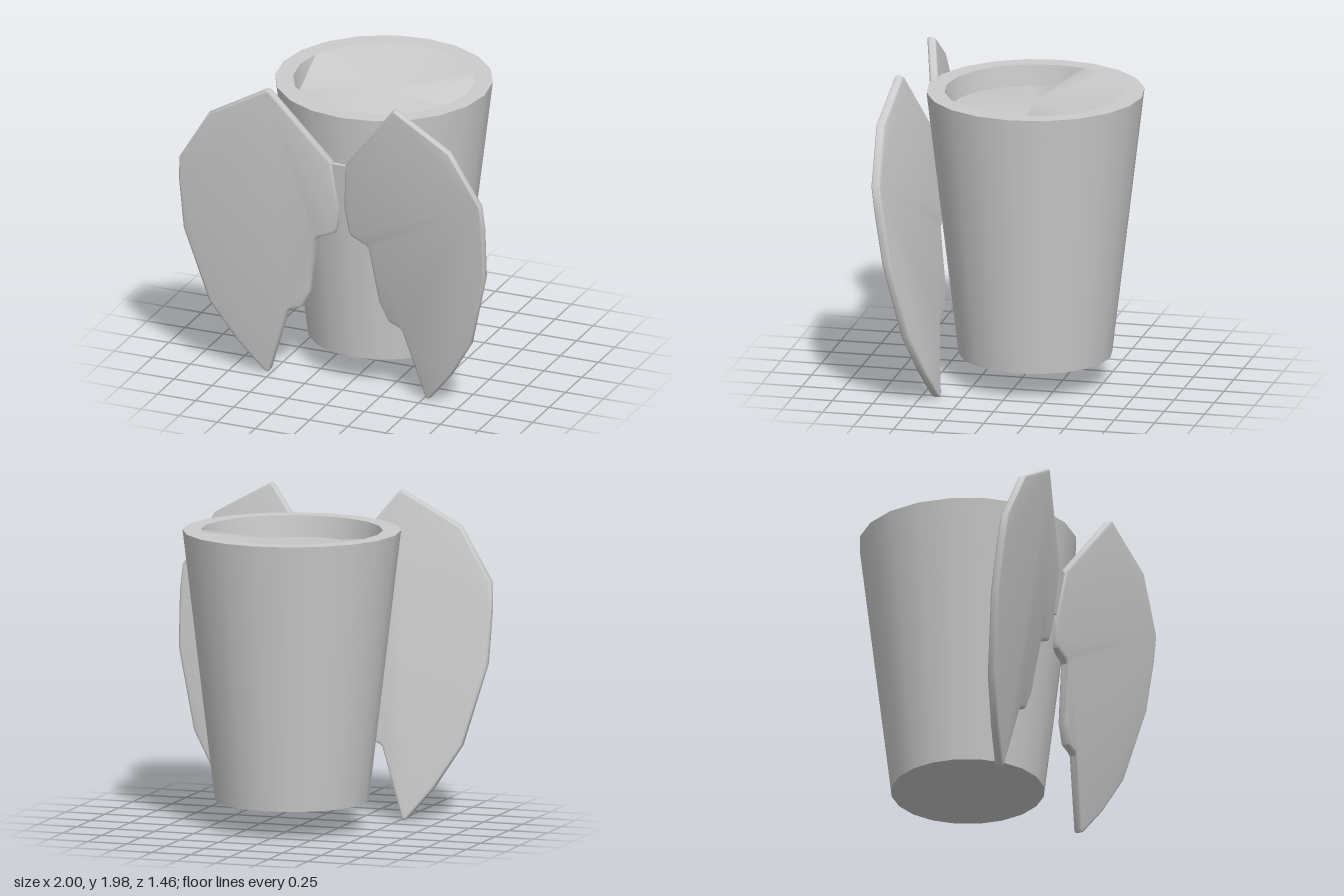
import * as THREE from 'three';
import { toCreasedNormals } from 'three/addons/utils/BufferGeometryUtils.js';

const SIDES = 20;
const BOTTOM = 0.17, RIM = 1.82;
const material = new THREE.MeshStandardMaterial({ color: 0xcccccc });
const openMaterial = new THREE.MeshStandardMaterial({ color: 0xcccccc, side: THREE.DoubleSide });

function addMesh(parent, name, geometry, mat = material) {
  const mesh = new THREE.Mesh(geometry, mat);
  mesh.name = name;
  parent.add(mesh);
  return mesh;
}

// Outline of one wing, seen from the front (its own left side)
const WING = [
  [0.40, 1.965], [0.42, 1.975], [0.79, 1.77], [0.99, 1.44], [1.0, 1.28], [0.99, 0.95],
  [0.86, 0.46], [0.70, 0.2], [0.545, 0.01], [0.525, 0], [0.51, 0.02], [0.375, 0.44],
  [0.355, 0.455], [0.285, 0.48], [0.225, 0.6], [0.175, 0.96], [0.155, 0.98],
  [0.055, 1.02], [0.04, 1.05], [0.018, 1.2], [0.045, 1.51],
];

// Bevelled plate that leans forward with height and sweeps forward with width
function plate(points, frontZ, depth, bevel) {
  const shape = new THREE.Shape(points.map(([x, y]) => new THREE.Vector2(x, y)));
  const geometry = new THREE.ExtrudeGeometry(shape, {
    depth: depth - 2 * bevel, bevelEnabled: bevel > 0, bevelSize: bevel,
    bevelThickness: bevel, bevelOffset: -bevel, bevelSegments: 3,
  });
  geometry.translate(0, 0, frontZ - depth + bevel);
  const p = geometry.attributes.position;
  for (let i = 0; i < p.count; i++) {
    p.setZ(i, p.getZ(i) + 0.15 * Math.abs(p.getX(i)) + 0.14 * p.getY(i));
  }
  geometry.computeVertexNormals();
  return toCreasedNormals(geometry, 0.6);
}

function createCup() {
  const cup = new THREE.Group();
  cup.name = 'cup';
  const height = RIM - BOTTOM;

  // Tapered outer wall
  const wall = new THREE.CylinderGeometry(0.66, 0.465, height, SIDES, 1, true);
  wall.translate(0, BOTTOM + height / 2, 0);
  addMesh(cup, 'outerWall', wall);

  // Flat base and rim
  const base = new THREE.CircleGeometry(0.465, SIDES);
  base.rotateX(Math.PI / 2).translate(0, BOTTOM, 0);
  addMesh(cup, 'base', base);
  const rim = new THREE.RingGeometry(0.55, 0.66, SIDES);
  rim.rotateX(-Math.PI / 2).translate(0, RIM, 0);
  addMesh(cup, 'rim', rim);

  // Shallow inner wall
  const depth = 0.13;
  const inner = new THREE.CylinderGeometry(0.55, 0.535, depth, SIDES, 1, true);
  inner.translate(0, RIM - depth / 2, 0);
  addMesh(cup, 'innerWall', inner, openMaterial);

  // Filling: level with the rim at the back, sunken at the front
  const filling = new THREE.CircleGeometry(0.535, SIDES);
  filling.rotateX(-Math.PI / 2);
  const p = filling.attributes.position;
  for (let i = 0; i < p.count; i++) {
    const high = p.getZ(i) < -0.1;
    const s = high ? 0.55 / 0.535 : 1;
    const y = i === 0 ? RIM - depth / 2 : high ? RIM : RIM - depth;
    p.setXYZ(i, p.getX(i) * s, y, p.getZ(i) * s);
  }
  filling.computeVertexNormals();
  addMesh(cup, 'filling', filling, openMaterial);

  cup.position.set(0.02, 0, -0.085);
  return cup;
}

export function createModel() {
  const model = new THREE.Group();
  model.name = 'wingedCup';
  model.add(createCup());

  // Mirrored pair of wings
  for (const [name, side] of [['leftWing', 1], ['rightWing', -1]]) {
    addMesh(model, name, plate(WING.map(([x, y]) => [side * x, y]), 0.355, 0.055, 0.016));
  }

  // Narrow bridge joining the wings
  const bridge = [[0.05, 1.5], [-0.05, 1.5], [-0.025, 1.22], [0.025, 1.22]];
  addMesh(model, 'bridge', plate(bridge, 0.342, 0.03, 0));
  return model;
}
